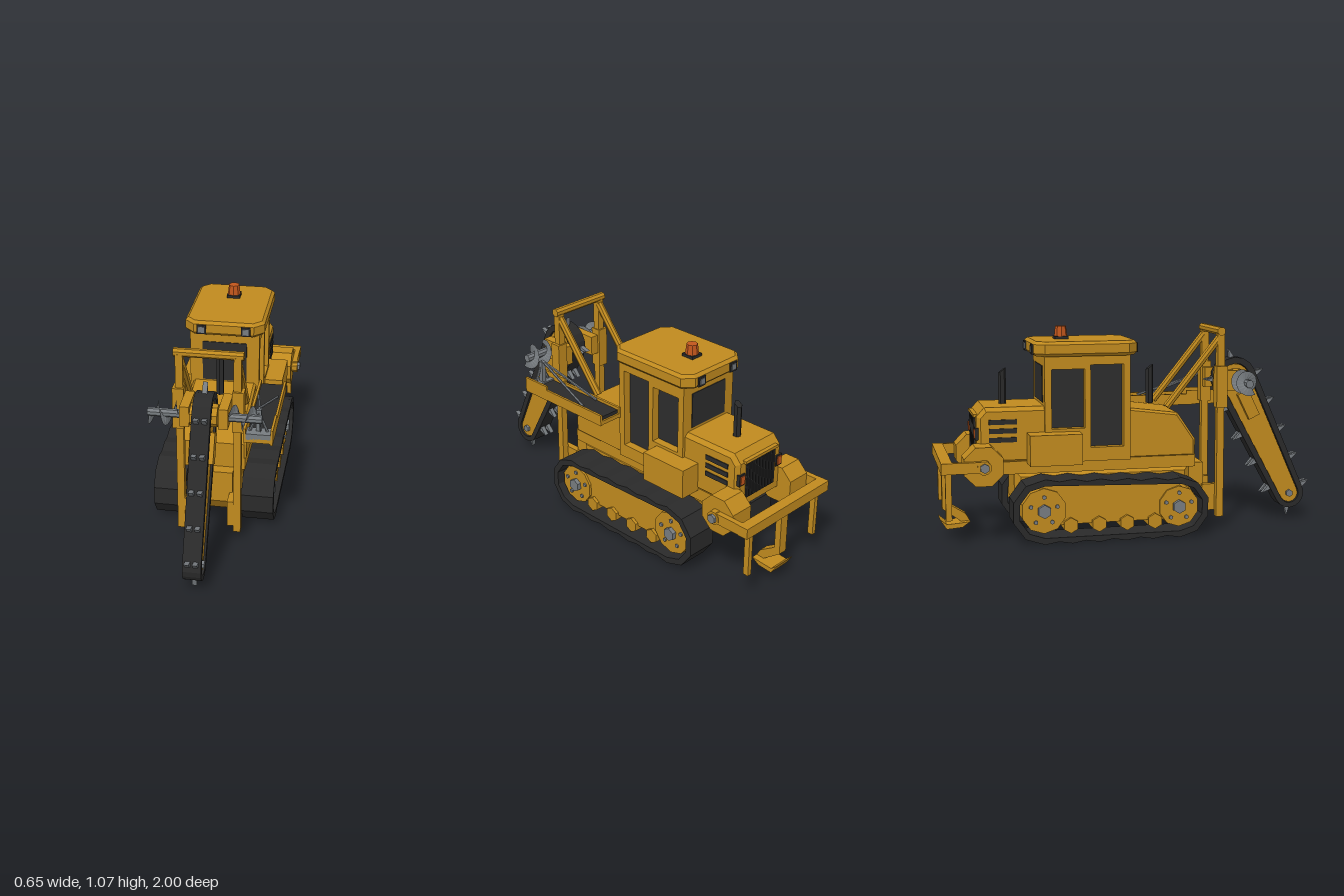
import * as THREE from 'three';
import { ParametricGeometry } from 'three/addons/geometries/ParametricGeometry.js';

export function createModel() {
  const root = new THREE.Group();
  root.name = 'trencher';
  const paint = (name, color, side = THREE.FrontSide) => {
    const m = new THREE.MeshStandardMaterial({ color, flatShading: true, side });
    m.name = name;
    return m;
  };
  const yellow = paint('yellow paint', 0xc08a1e);
  const dark = paint('dark rubber', 0x2a2a2a);
  const glass = paint('dark glass', 0x2d2d2d);
  const steel = paint('steel', 0x777c80, THREE.DoubleSide);
  const orange = paint('orange lens', 0xc2561c);

  // ---- helpers ----
  const add = (name, geo, mat) => {
    const m = new THREE.Mesh(geo, mat);
    m.name = name;
    root.add(m);
    return m;
  };
  const box = (name, mat, x0, x1, y0, y1, z0, z1) =>
    add(name, new THREE.BoxGeometry(Math.abs(x1 - x0), y1 - y0, Math.abs(z1 - z0))
      .translate((x0 + x1) / 2, (y0 + y1) / 2, (z0 + z1) / 2), mat);
  const drum = (name, mat, x0, x1, y, z, r, sides = 8) =>
    add(name, new THREE.CylinderGeometry(r, r, Math.abs(x1 - x0), sides)
      .rotateY(Math.PI / sides).rotateZ(Math.PI / 2).translate((x0 + x1) / 2, y, z), mat);
  const rod = (name, mat, a, b, r, sides = 6) => {
    const A = new THREE.Vector3(...a), B = new THREE.Vector3(...b);
    const m = add(name, new THREE.CylinderGeometry(r, r, A.distanceTo(B), sides), mat);
    m.position.copy(A).lerp(B, 0.5);
    m.quaternion.setFromUnitVectors(new THREE.Vector3(0, 1, 0), B.sub(A).normalize());
  };
  const points = (pts) => pts.map((p) => new THREE.Vector2(p[0], p[1]));
  const extrude = (shape, depth, bevel) => new THREE.ExtrudeGeometry(shape, {
    depth: depth - 2 * bevel, bevelEnabled: bevel > 0, bevelSize: bevel,
    bevelThickness: bevel, bevelOffset: -bevel, bevelSegments: 1,
  });
  // side profile of [z, y] points, extruded across x
  const profile = (name, mat, pts, x0, x1, bevel = 0, holes = []) => {
    const s = new THREE.Shape(points(pts));
    s.holes = holes.map((h) => new THREE.Path(points(h)));
    const g = extrude(s, Math.abs(x1 - x0), bevel);
    return add(name, g.rotateY(-Math.PI / 2).translate(Math.max(x0, x1) - bevel, 0, 0), mat);
  };
  const rect = (z0, z1, y0, y1) => [[z0, y0], [z1, y0], [z1, y1], [z0, y1]];
  // upright block with cut corners
  const slab = (name, mat, hx, z0, z1, y0, y1, c, bevel) => {
    const s = new THREE.Shape(points([
      [-hx + c, -z1], [hx - c, -z1], [hx, -z1 + c], [hx, -z0 - c],
      [hx - c, -z0], [-hx + c, -z0], [-hx, -z0 - c], [-hx, -z1 + c]]));
    return add(name, extrude(s, y1 - y0, bevel).rotateX(-Math.PI / 2).translate(0, y0 + bevel, 0), mat);
  };
  // belt outline around two wheels, optionally with wavy straight runs
  const belt = (c1, r1, c2, r2, n, wave = 0) => {
    const dz = c2[0] - c1[0], dy = c2[1] - c1[1], phi = Math.atan2(dy, dz);
    const b = Math.acos((r1 - r2) / Math.hypot(dz, dy)), pts = [];
    const on = (c, r, a) => [c[0] + r * Math.cos(a), c[1] + r * Math.sin(a)];
    const arc = (c, r, a0, a1) => {
      for (let i = 0; i <= n; i++) pts.push(on(c, r, a0 + (a1 - a0) * i / n));
    };
    const run = (a, c, r) => {
      if (!wave) return;
      const from = pts[pts.length - 1], to = on(c, r, a);
      for (let i = 1; i < 10; i++) {
        const d = i % 2 ? wave : 0;
        pts.push([from[0] + (to[0] - from[0]) * i / 10 - d * Math.cos(a),
          from[1] + (to[1] - from[1]) * i / 10 - d * Math.sin(a)]);
      }
    };
    arc(c1, r1, phi + b, phi + 2 * Math.PI - b);
    run(phi - b, c2, r2);
    arc(c2, r2, phi - b, phi + b);
    run(phi + b, c1, r1);
    return pts;
  };

  // ---- hull and bodywork ----
  profile('hullNose', yellow, [[0.38, 0.345], [0.38, 0.175], [0.32, 0.1], [-0.1, 0.1], [-0.1, 0.345]], -0.105, 0.105);
  profile('lowerHull', yellow, [[0.3, 0.345], [0.3, 0.12], [-0.55, 0.1], [-0.62, 0.18], [-0.62, 0.345]], -0.142, 0.142, 0.03);
  box('deck', yellow, -0.16, 0.16, 0.335, 0.4, 0.32, -0.7);
  profile('frontBody', yellow, [[0.32, 0.39], [0.32, 0.48], [0.225, 0.62], [-0.05, 0.655], [-0.05, 0.39]], -0.165, 0.165, 0.012);
  profile('rearHood', yellow, [[-0.44, 0.39], [-0.44, 0.675], [-0.77, 0.675], [-0.81, 0.63], [-0.81, 0.39]], -0.165, 0.165, 0.02);
  slab('cab', yellow, 0.134, -0.47, -0.03, 0.39, 0.94, 0.004, 0);
  slab('roof', yellow, 0.205, -0.52, 0.01, 0.925, 1.0, 0.05, 0.015);
  box('frontWindow', glass, -0.115, 0.115, 0.66, 0.875, -0.032, -0.026);
  box('rearWindow', glass, -0.12, 0.12, 0.69, 0.875, -0.474, -0.468);

  // ---- grille at the rear ----
  box('grille', dark, -0.105, 0.105, 0.43, 0.625, -0.808, -0.814);
  for (let i = -4; i <= 4; i++) box('grilleSlat', dark, i * 0.024 - 0.006, i * 0.024 + 0.006, 0.435, 0.62, -0.81, -0.82);
  box('grilleTop', yellow, -0.12, 0.12, 0.625, 0.64, -0.78, -0.822);

  // ---- exhaust stacks with slanted tops ----
  for (const z of [0.115, -0.66]) {
    const g = new THREE.CylinderGeometry(0.02, 0.02, 0.2, 6);
    const p = g.attributes.position;
    for (let i = 0; i < p.count; i++) if (p.getY(i) > 0) p.setY(i, 0.09 + p.getZ(i) * 0.7);
    add('exhaust', g.translate(0, 0.755, z), dark);
  }

  // ---- beacon ----
  box('beaconBase', dark, -0.035, 0.035, 0.998, 1.014, -0.39, -0.32);
  add('beacon', new THREE.CylinderGeometry(0.028, 0.034, 0.052, 8).translate(0, 1.039, -0.355), orange);

  // ---- digging boom with chain and teeth ----
  const top = [0.575, 0.775], tip = [0.89, 0.14];
  const chainLine = belt(top, 0.113, tip, 0.08, 8);
  profile('diggingChain', dark, chainLine, -0.045, 0.045, 0, [belt(top, 0.08, tip, 0.052, 8)]);
  profile('boom', yellow, belt(top, 0.077, tip, 0.049, 8), -0.035, 0.035);
  drum('boomTipBolt', steel, -0.05, 0.05, tip[1], tip[0], 0.02, 6);
  drum('boomPivotHub', yellow, -0.066, 0.066, top[1], top[0], 0.055);
  const bracket = box('boomBracket', yellow, -0.06, 0.06, -0.075, 0.075, -0.032, 0.032);
  bracket.position.set(0, 0.635, 0.645);
  bracket.rotation.x = -0.46;
  const loop = new THREE.Shape(points([...chainLine, chainLine[0]]));
  for (let i = 0; i < 12; i++) {
    const u = (i + 0.85) / 12, c = loop.getPoint(u), t = loop.getTangent(u);
    const nz = t.y, ny = -t.x;
    const at = (a, h) => [c.x + t.x * a + nz * h, c.y + t.y * a + ny * h];
    for (const x of Math.abs(ny) > 0.75 ? [0] : [-0.02, 0.02])
      profile('tooth', steel, [at(-0.015, -0.005), at(0.015, -0.005), at(0.006, 0.05)], x - 0.012, x + 0.012);
  }

  // ---- mirrored parts ----
  for (const s of [-1, 1]) {
    // tracks
    const w1 = [0.2, 0.155], w2 = [-0.495, 0.165];
    profile('track', dark, belt(w1, 0.155, w2, 0.165, 5, 0.012), s * 0.145, s * 0.31, 0,
      [belt(w1, 0.122, w2, 0.132, 5)]);
    profile('trackFrame', yellow, [[0.2, 0.275], [0.1, 0.28], [-0.5, 0.295], [-0.6, 0.17], [-0.5, 0.09], [0.2, 0.09], [0.3, 0.15]], s * 0.165, s * 0.268);
    for (const [w, r] of [[w1, 0.105], [w2, 0.115]]) {
      drum('trackWheel', yellow, s * 0.155, s * 0.28, w[1], w[0], r, 10);
      drum('wheelHub', steel, s * 0.27, s * 0.302, w[1], w[0], 0.035, 6);
      drum('axle', yellow, 0, s * 0.16, w[1], w[0], 0.05);
      for (let i = 0; i < 5; i++) {
        const a = i * Math.PI * 0.4 + 0.3;
        drum('wheelBolt', steel, s * 0.275, s * 0.288, w[1] + 0.07 * Math.sin(a), w[0] + 0.07 * Math.cos(a), 0.011, 6);
      }
    }
    for (let i = 0; i < 4; i++) drum('roller', yellow, s * 0.16, s * 0.285, 0.085, 0.075 - i * 0.145, 0.04, 6);

    // cab side frame with deep-set windows
    profile('cabSideFrame', yellow, rect(-0.47, -0.03, 0.39, 0.94), s * 0.13, s * 0.18, 0,
      [rect(-0.235, -0.065, 0.46, 0.88), rect(-0.435, -0.265, 0.56, 0.86)]);
    box('sideWindow', glass, s * 0.131, s * 0.138, 0.46, 0.88, -0.065, -0.235);
    box('sideWindow', glass, s * 0.131, s * 0.138, 0.56, 0.86, -0.265, -0.435);

    // hood vents, side tank
    for (let i = 0; i < 3; i++) box('vent', dark, s * 0.163, s * 0.17, 0.5 + i * 0.045, 0.525 + i * 0.045, -0.61, -0.75);
    box('sideTank', yellow, s * 0.15, s * 0.275, 0.39, 0.545, -0.295, -0.56);

    // roof lamps front and rear, tail lamps
    for (const [z, d] of [[0.01, 1], [-0.52, -1]]) {
      box('roofLamp', dark, s * 0.09, s * 0.138, 0.935, 0.984, z - d * 0.01, z + d * 0.008);
      box('roofLampLens', steel, s * 0.098, s * 0.13, 0.944, 0.975, z, z + d * 0.012);
    }
    box('tailLampHousing', dark, s * 0.117, s * 0.158, 0.515, 0.575, -0.8, -0.818);
    box('tailLamp', orange, s * 0.123, s * 0.152, 0.523, 0.567, -0.813, -0.823);

    // rear lift discs, arms and rods
    drum('liftDisc', yellow, s * 0.15, s * 0.28, 0.4, -0.79, 0.105);
    drum('armHub', yellow, s * 0.275, s * 0.312, 0.4, -0.79, 0.036);
    drum('armBolt', steel, s * 0.31, s * 0.326, 0.4, -0.79, 0.024, 6);
    box('liftArm', yellow, s * 0.28, s * 0.308, 0.375, 0.43, -0.77, -0.96);
    box('hangingRod', yellow, s * 0.238, s * 0.262, 0.135, 0.38, -0.948, -0.978);

    // front mast
    box('mastPost', yellow, s * 0.123, s * 0.16, 0.06, 1.03, 0.438, 0.476);
    box('mastFoot', yellow, s * 0.09, s * 0.125, 0.09, 0.23, 0.37, 0.47);
    box('mastSleeve', yellow, s * 0.118, s * 0.175, 0.64, 0.855, 0.43, 0.488);
    rod('mastBrace', yellow, [s * 0.14, 1.0, 0.45], [s * 0.14, 0.65, 0.17], 0.02, 8);
    box('pivotPlate', yellow, s * 0.07, s * 0.116, 0.72, 0.825, 0.44, 0.61);

    // augers
    drum('augerShaft', steel, s * 0.03, s * 0.275, 0.77, 0.575, 0.021);
    add('augerFlight', new ParametricGeometry((u, v, o) => {
      const a = u * Math.PI * 3.5 + 0.5, r = 0.018 + v * 0.044;
      o.set(s * (0.12 + 0.15 * u), 0.77 + r * Math.sin(a), 0.575 + r * Math.cos(a));
    }, 28, 1), steel);
  }
  drum('mastCrossbar', yellow, -0.17, 0.17, 1.035, 0.455, 0.022);

  // ---- side conveyor ----
  box('conveyorBelt', dark, 0.195, 0.312, 0.635, 0.655, -0.03, 0.52);
  box('conveyorBase', yellow, 0.185, 0.312, 0.615, 0.636, -0.04, 0.53);
  box('conveyorRail', yellow, 0.31, 0.322, 0.612, 0.67, -0.04, 0.4);
  box('conveyorRail', yellow, 0.182, 0.195, 0.612, 0.67, -0.04, 0.4);
  box('conveyorEndPlate', yellow, 0.31, 0.322, 0.61, 0.69, 0.37, 0.535);
  box('conveyorEndPlate', yellow, 0.178, 0.19, 0.615, 0.69, 0.37, 0.535);
  box('conveyorEndBar', steel, 0.188, 0.312, 0.63, 0.662, 0.46, 0.53);
  box('conveyorPost', steel, 0.236, 0.26, 0.64, 0.775, 0.47, 0.495);
  for (const x of [0.2, 0.295]) {
    rod('conveyorStay', steel, [0.248, 0.78, 0.48], [x, 0.66, 0.12], 0.007);
    rod('conveyorStay', steel, [0.248, 0.76, 0.49], [x, 0.65, 0.49], 0.007);
  }

  // ---- rear beam and ripper ----
  box('rearBeam', yellow, -0.31, 0.31, 0.375, 0.43, -0.945, -1.0);
  profile('ripperShank', yellow, [[-0.945, 0.38], [-0.978, 0.38], [-0.978, 0.145], [-0.87, 0.065], [-0.84, 0.08], [-0.86, 0.115], [-0.945, 0.17]], -0.025, 0.025);
  profile('ripperFoot', yellow, [[-0.84, 0.08], [-0.88, 0.052], [-0.96, 0.045], [-0.995, 0.1], [-0.96, 0.07], [-0.89, 0.075]], -0.06, 0.06);

  return root;
}
